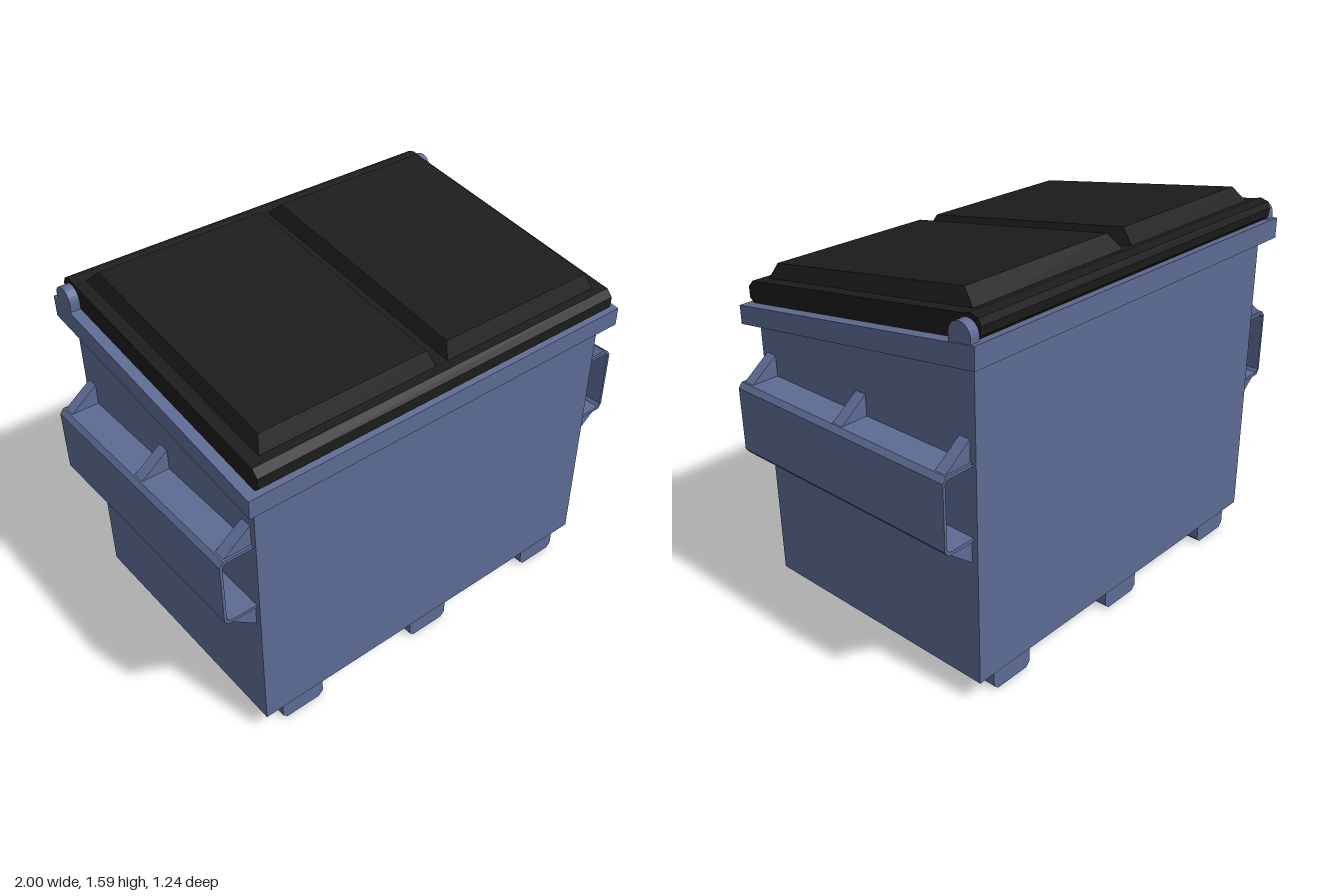
import * as THREE from 'three';

const SLOPE = 0.147; // rise of the rim and lid towards the back

export function createModel() {
  const root = new THREE.Group();
  const paint = new THREE.MeshStandardMaterial({ color: 0x5d6b93 });
  const plastic = new THREE.MeshStandardMaterial({ color: 0x1c1c1c });

  const add = (name, geometry, material = paint) => {
    const mesh = new THREE.Mesh(geometry, material);
    mesh.name = name;
    root.add(mesh);
    return mesh;
  };
  const shapeOf = (pts) => new THREE.Shape(pts.map(([a, b]) => new THREE.Vector2(a, b)));
  // Extrude an [x, y] outline between two z values
  const alongZ = (pts, z0, z1) =>
    new THREE.ExtrudeGeometry(shapeOf(pts), { depth: z1 - z0, bevelEnabled: false }).translate(0, 0, z0);
  // Extrude a [z, y] outline between two x values
  const alongX = (pts, x0, x1) =>
    new THREE.ExtrudeGeometry(shapeOf(pts.map(([z, y]) => [-z, y])), { depth: x1 - x0, bevelEnabled: false })
      .rotateY(Math.PI / 2).translate(x0, 0, 0);
  const slanted = (z, y) => [z, y - SLOPE * z];

  // Bin body with sloping top
  add('body', alongX([[0.57, 0.09], [0.57, 1.24], [-0.57, 1.41], [-0.57, 0.09]], -0.86, 0.86));

  // Overhanging rim
  add('rim', alongX([slanted(0.62, 1.293), slanted(0.62, 1.37), slanted(-0.62, 1.37), slanted(-0.62, 1.283)], -0.91, 0.91));

  // Skids with chamfered lower edges
  for (const x of [-0.675, 0, 0.675]) {
    add('skid', alongZ([[x - 0.1, 0.09], [x - 0.1, 0.02], [x - 0.08, 0], [x + 0.08, 0], [x + 0.1, 0.02], [x + 0.1, 0.09]], -0.56, 0.56));
  }

  // Lid base with rolled front lip and rounded hinge edge
  add('lidBase', alongX([
    [0.59, 1.283], [0.612, 1.3], [0.612, 1.345], [0.585, 1.373], [0.56, 1.376],
    [-0.535, 1.537], [-0.56, 1.545], [-0.595, 1.535], [-0.608, 1.51], [-0.603, 1.475], [-0.58, 1.453],
  ], -0.865, 0.865), plastic);

  // Raised lid panels: boxes with inset tops, sheared to the slope
  for (const side of [-1, 1]) {
    const panel = new THREE.BoxGeometry(0.8, 0.08, 1.1);
    const p = panel.attributes.position;
    for (let i = 0; i < p.count; i++) {
      let x = p.getX(i), z = p.getZ(i);
      const top = p.getY(i) > 0;
      if (top) {
        x -= Math.sign(x) * 0.03;
        z -= z > 0 ? 0.04 : -0.075;
      }
      z += 0.01;
      p.setXYZ(i, x + side * 0.42, (top ? 1.518 : 1.44) - (top ? 0.152 : SLOPE) * z, z);
    }
    panel.computeVertexNormals();
    add(side > 0 ? 'leftLidPanel' : 'rightLidPanel', panel, plastic);
  }

  // Side fittings
  for (const side of [-1, 1]) {
    const mirrored = (pts) => pts.map(([x, y]) => [side * x, y]);

    // Hinge ear with rounded top
    const ear = [[-0.5, 1.42]];
    for (let i = 0; i <= 12; i++) {
      const a = (i / 12) * Math.PI;
      ear.push([-0.55 + 0.05 * Math.cos(a), 1.477 + 0.05 * Math.sin(a)]);
    }
    ear.push([-0.6, 1.42]);
    add('hingeEar', alongX(ear, side > 0 ? 0.865 : -0.905, side > 0 ? 0.905 : -0.865));

    // Open fork pocket: thin folded plate
    add('forkPocket', alongZ(mirrored([
      [0.855, 0.697], [0.983, 0.697], [1, 0.718], [1, 0.982], [0.983, 1.003], [0.855, 1.003],
      [0.855, 0.99], [0.978, 0.99], [0.989, 0.977], [0.989, 0.723], [0.978, 0.71], [0.855, 0.71],
    ]), -0.553, 0.553));

    // Triangular gussets above and below the pocket
    for (const z of [-0.518, 0, 0.518]) {
      add('upperGusset', alongZ(mirrored([[0.855, 1.0], [0.98, 1.0], [0.86, 1.09], [0.855, 1.09]]), z - 0.025, z + 0.025));
      add('lowerGusset', alongZ(mirrored([[0.855, 0.7], [0.98, 0.7], [0.86, 0.605], [0.855, 0.605]]), z - 0.025, z + 0.025));
    }
  }
  return root;
}
